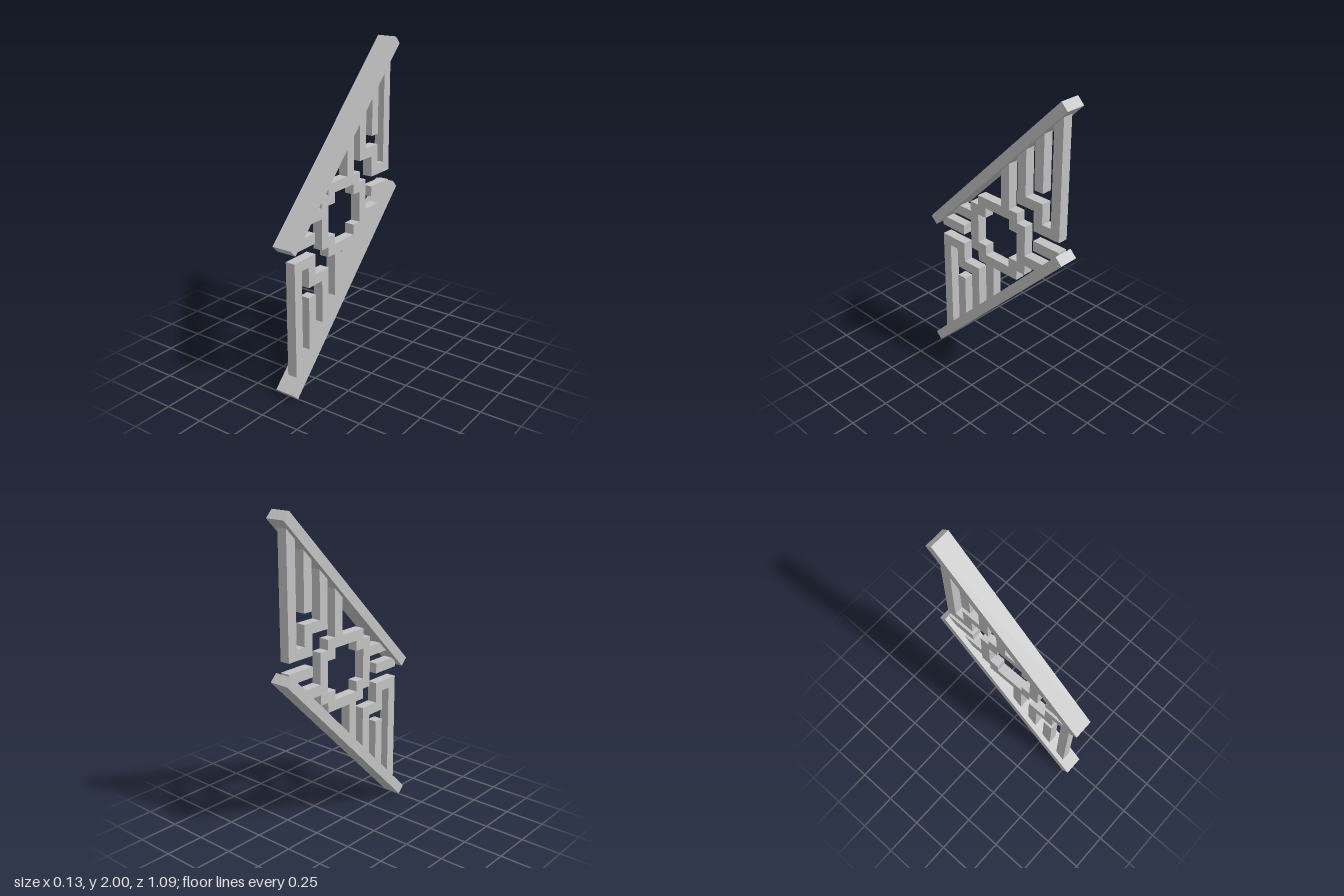
import * as THREE from 'three';

const U = 0.0645; // lattice grid unit
const DEPTH = 0.0635; // lattice thickness
const CX = 0.0125, CY = 1.003; // lattice centre in the panel plane

const toVectors = (pts) => pts.map(([u, v]) => new THREE.Vector2(u * U, v * U));

// Cross-shaped outline: a square of half size a with corner notches down to b
function notchedSquare(a, b) {
  return [
    [a, -b], [a, b], [b, b], [b, a], [-b, a], [-b, b],
    [-a, b], [-a, -b], [-b, -b], [-b, -a], [b, -a], [b, -b],
  ];
}

export function createModel() {
  const grey = new THREE.MeshStandardMaterial({ color: 0xc2c2c2 });
  grey.name = 'grey';

  const model = new THREE.Group();
  model.name = 'slopedRailingPanel';

  // The panel is drawn in its own plane, then turned to run along z
  const panel = new THREE.Group();
  panel.name = 'panel';
  panel.rotation.y = Math.PI / 2;
  model.add(panel);

  // Upper and lower sloping rails
  for (const [name, y] of [['upperRail', 1.454], ['lowerRail', 0.546]]) {
    const rail = new THREE.Mesh(new THREE.BoxGeometry(1.482, 0.0625, 0.127), grey);
    rail.name = name;
    rail.position.y = y;
    rail.rotation.z = Math.PI / 4;
    panel.add(rail);
  }

  function addLattice(name, pts, hole) {
    const shape = new THREE.Shape(toVectors(pts));
    if (hole) shape.holes.push(new THREE.Path(toVectors(hole)));
    const geometry = new THREE.ExtrudeGeometry(shape, { depth: DEPTH, bevelEnabled: false });
    geometry.translate(CX, CY, -DEPTH / 2);
    const mesh = new THREE.Mesh(geometry, grey);
    mesh.name = name;
    panel.add(mesh);
  }

  // Central ring with stepped corners
  addLattice('centreRing', notchedSquare(3.5, 2.5), notchedSquare(2.5, 1.5));

  // The fretwork repeats with a half turn; s is the side
  for (const [side, s] of [['upper', 1], ['lower', -1]]) {
    const near = s > 0 ? 6.6 : 6.3; // slanted ends sunk slightly into this side's rail
    const far = s > 0 ? 6.3 : 6.6; // the same for the opposite rail
    const end = (u) => [u, u + near];
    const add = (name, pts) => addLattice(side + name, pts.map(([u, v]) => [u * s, v * s]));

    add('RingPost', [[0.5, 3.5], [1.5, 3.5], end(1.5), end(0.5)]);
    add('ShortPost', [[4.5, 6.5], [5.5, 6.5], end(5.5), end(4.5)]);
    add('SteppedHook', [
      end(6.5), end(7.5), [7.5, 2.5], [4.5, 2.5], [4.5, 4.5], [2.5, 4.5],
      end(2.5), end(3.5), [3.5, 5.5], [5.5, 5.5], [5.5, 3.5], [6.5, 3.5],
    ]);
    add('EndBar', [[4.5, 0.5], [7.5, 0.5], [7.5, 1.5], [4.5, 1.5]]);
    add('RingArm', [[3.5, -1.5], [far - 1.5, -1.5], [far - 0.5, -0.5], [3.5, -0.5]]);
  }

  return model;
}
